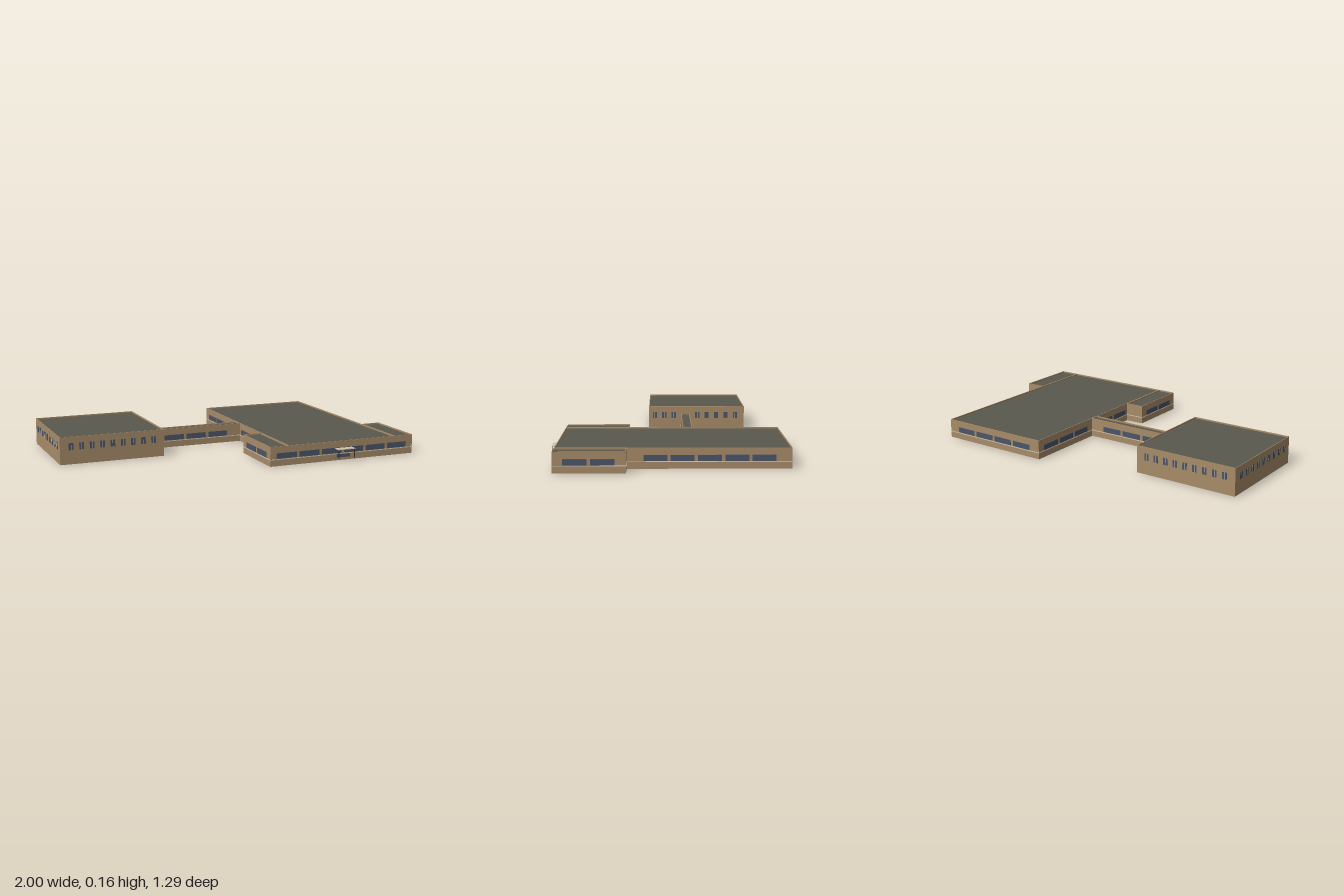
import * as THREE from 'three';

const mat = (name, color, extra = {}) => {
  const m = new THREE.MeshStandardMaterial({ color, ...extra });
  m.name = name;
  return m;
};

export function createModel() {
  const wallMat = mat('tan brick', 0xa88c69);
  const roofMat = mat('grey roof', 0x5a584e, { side: THREE.DoubleSide });
  const glassMat = mat('blue grey glass', 0x4b566a);
  const trimMat = mat('pale trim', 0xd2c2aa);
  const postMat = mat('dark metal', 0x36322e);
  const root = new THREE.Group();
  root.name = 'schoolBuilding';

  const box = (parent, name, material, w, h, d, x, y, z) => {
    const m = new THREE.Mesh(new THREE.BoxGeometry(w, h, d), material);
    m.name = name;
    m.position.set(x, y, z);
    parent.add(m);
    return m;
  };

  // Thin plate on a wall; axis is the wall's normal, a..b runs along the wall
  const plate = (parent, name, material, axis, at, a, b, y0, y1, t = 0.004) => {
    const mid = (a + b) / 2, y = (y0 + y1) / 2;
    if (axis === 'z') box(parent, name, material, b - a, y1 - y0, t, mid, y, at);
    else box(parent, name, material, t, y1 - y0, b - a, at, y, mid);
  };

  // Hollow block, open below, with a roof set just under the parapet
  const block = (name, x0, x1, z0, z1, h) => {
    const g = new THREE.Group();
    g.name = name;
    root.add(g);
    const rect = (P, i) => new P([
      new THREE.Vector2(x0 + i, -z1 + i), new THREE.Vector2(x1 - i, -z1 + i),
      new THREE.Vector2(x1 - i, -z0 - i), new THREE.Vector2(x0 + i, -z0 - i),
    ]);
    const ring = rect(THREE.Shape, 0);
    ring.holes.push(rect(THREE.Path, 0.004));
    const walls = new THREE.Mesh(new THREE.ExtrudeGeometry(ring, { depth: h, bevelEnabled: false }), wallMat);
    walls.name = 'walls';
    walls.rotation.x = -Math.PI / 2;
    g.add(walls);
    const roof = new THREE.Mesh(new THREE.ShapeGeometry(rect(THREE.Shape, 0.003)), roofMat);
    roof.name = 'roof';
    roof.rotation.x = -Math.PI / 2;
    roof.position.y = h - 0.008;
    g.add(roof);
    return g;
  };

  const H = 0.112, GH = 0.158;
  const gym = block('gymnasium', -0.998, -0.382, -0.49, 0.12, GH);
  const corridor = block('corridor', -0.382, 0.19, -0.14, -0.085, H);
  const main = block('mainHall', 0.19, 0.878, -0.643, 0.6, H);
  const wingR = block('rightWing', 0.076, 0.19, 0.23, 0.6, H);
  const wingL = block('leftWing', 0.878, 0.998, 0.222, 0.6, H);

  // Row of long windows, evenly pitched from a start position
  const windowRow = (parent, axis, at, start, count) => {
    for (let i = 0; i < count; i++) {
      const a = start + i * 0.1425;
      plate(parent, 'window', glassMat, axis, at, a, a + 0.125, 0.042, 0.074);
    }
  };
  windowRow(main, 'z', 0.6, 0.115, 6);
  windowRow(main, 'z', -0.643, 0.258, 4);
  windowRow(main, 'x', 0.878, -0.56, 5);
  windowRow(main, 'x', 0.19, -0.597, 3);
  windowRow(main, 'x', 0.19, -0.06, 2);
  windowRow(wingL, 'x', 0.998, 0.28, 2);
  windowRow(wingR, 'x', 0.076, 0.28, 2);
  windowRow(corridor, 'z', -0.085, -0.307, 3);
  windowRow(corridor, 'z', -0.14, -0.307, 3);

  // Pale sill band round the low blocks
  const bands = [
    [main, 'z', 0.6, 0.076, 0.998], [main, 'z', -0.643, 0.19, 0.878],
    [main, 'x', 0.878, -0.643, 0.222], [main, 'x', 0.19, -0.643, -0.14],
    [main, 'x', 0.19, -0.085, 0.23],
    [wingL, 'x', 0.998, 0.222, 0.6], [wingL, 'z', 0.222, 0.878, 0.998],
    [wingR, 'x', 0.076, 0.23, 0.6], [wingR, 'z', 0.23, 0.076, 0.19],
    [corridor, 'z', -0.085, -0.382, 0.19], [corridor, 'z', -0.14, -0.382, 0.19],
  ];
  for (const [p, axis, at, a, b] of bands) plate(p, 'sillBand', trimMat, axis, at, a, b, 0.036, 0.04, 0.005);

  // Small high gymnasium windows with a slim mullion
  const gymWindow = (axis, at, c) => {
    plate(gym, 'gymWindow', glassMat, axis, at, c - 0.0135, c + 0.0135, 0.082, 0.122);
    plate(gym, 'mullion', trimMat, axis, at, c - 0.0012, c + 0.0012, 0.082, 0.122, 0.005);
  };
  for (let i = 0; i < 9; i++) {
    const x = -0.934 + i * 0.061;
    gymWindow('z', 0.12, x);
    gymWindow('z', -0.49, x);
    gymWindow('x', -0.998, -0.429 + i * 0.061);
  }
  for (const z of [0.083, 0.022, -0.039, -0.19, -0.25, -0.311, -0.372, -0.433]) gymWindow('x', -0.382, z);

  // Entrance: doors, canopy and two posts
  const entrance = new THREE.Group();
  entrance.name = 'entrance';
  root.add(entrance);
  plate(entrance, 'doors', glassMat, 'z', 0.601, 0.495, 0.58, 0.016, 0.036);
  box(entrance, 'canopy', trimMat, 0.108, 0.004, 0.043, 0.538, 0.07, 0.6215);
  for (const x of [0.487, 0.589]) box(entrance, 'post', postMat, 0.004, 0.052, 0.004, x, 0.043, 0.64);
  return root;
}
